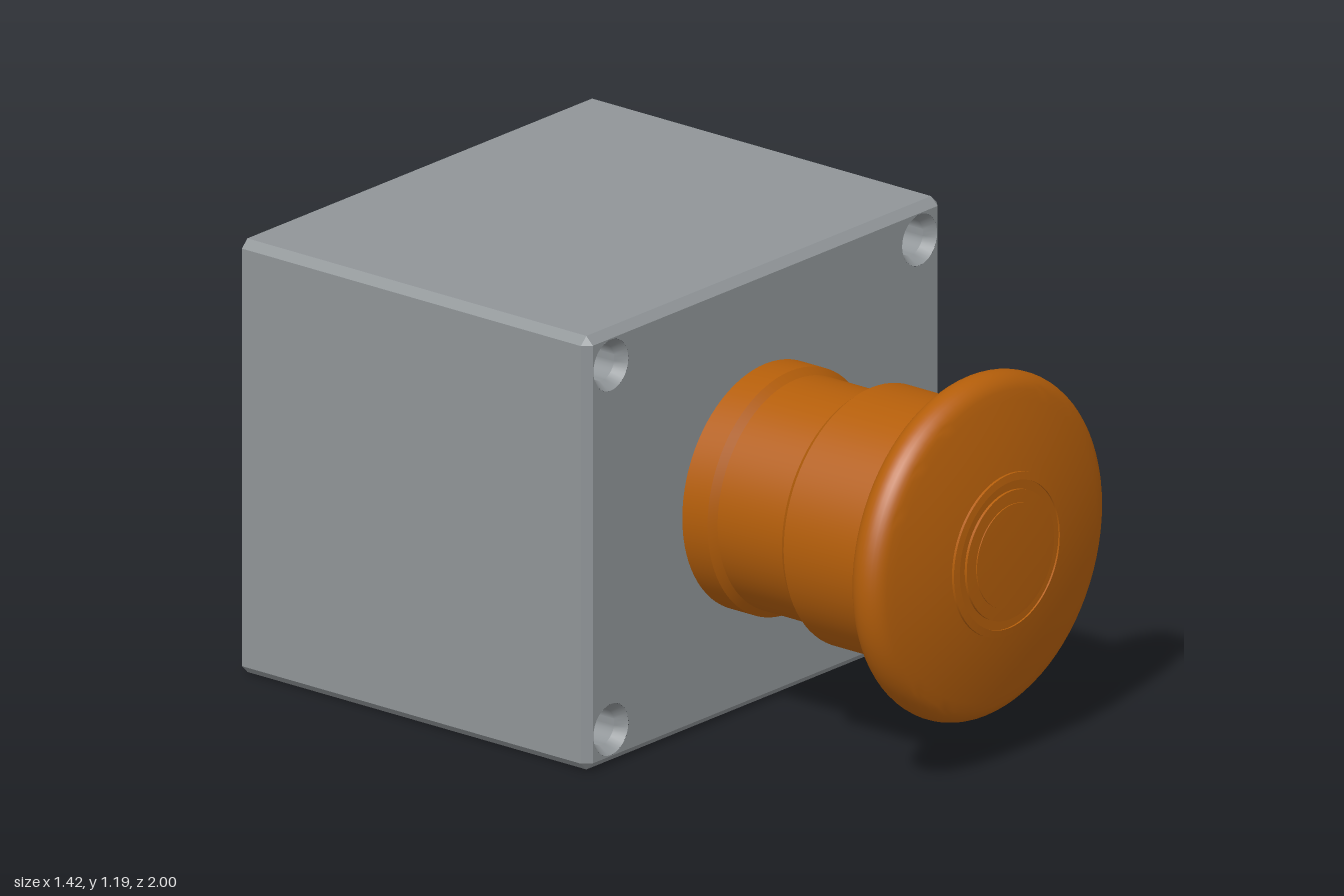
import * as THREE from 'three';
import { toCreasedNormals } from 'three/addons/utils/BufferGeometryUtils.js';

const W = 0.712, H = 0.595, C = 0.022;   // half width, half height, chamfer
const BACK = -1, FRONT = 0.165;
const grey = new THREE.MeshStandardMaterial({ color: 0x909598 });
const greyInside = new THREE.MeshStandardMaterial({ color: 0x909598, side: THREE.DoubleSide });
const orange = new THREE.MeshStandardMaterial({ color: 0xb45e0a });

function addMesh(parent, name, geometry, material) {
  const mesh = new THREE.Mesh(geometry, material);
  mesh.name = name;
  parent.add(mesh);
  return mesh;
}

// Revolve [radius, height] pairs, keeping hard edges crisp
function turned(points, segments) {
  const lathe = new THREE.LatheGeometry(points.map(p => new THREE.Vector2(...p)), segments);
  return toCreasedNormals(lathe, 0.4);
}

// Rectangle outline with cut corners, counter-clockwise
function outline(w, h, c) {
  return [[w, -h + c], [w, h - c], [w - c, h], [-w + c, h],
    [-w, h - c], [-w, -h + c], [-w + c, -h], [w - c, -h]];
}

// Flat panel with four round holes
function panel(points, hx, hy, r) {
  const shape = new THREE.Shape(points.map(p => new THREE.Vector2(...p)));
  for (const sx of [-1, 1]) for (const sy of [-1, 1]) {
    shape.holes.push(new THREE.Path().absarc(sx * hx, sy * hy, r, 0, Math.PI * 2, true));
  }
  return new THREE.ShapeGeometry(shape, 32);
}

// Walls joining the back outline, the chamfer line and the front rectangle
function walls() {
  const full = outline(W, H, C);
  const inset = full.map(([x, y]) => [Math.sign(x) * (W - C), Math.sign(y) * (H - C)]);
  const rings = [[full, BACK], [full, FRONT - C], [inset, FRONT]];
  const pos = [];
  for (let k = 0; k < 2; k++) for (let i = 0; i < 8; i++) {
    const j = (i + 1) % 8;
    const at = (ring, n) => [...rings[ring][0][n], rings[ring][1]];
    const a = at(k, i), b = at(k, j), c = at(k + 1, j), d = at(k + 1, i);
    pos.push(...a, ...b, ...c, ...a, ...c, ...d);
  }
  const g = new THREE.BufferGeometry();
  g.setAttribute('position', new THREE.Float32BufferAttribute(pos, 3));
  g.computeVertexNormals();
  return g;
}

// Four blind holes sunk into a panel
function addHoles(parent, name, profile, hx, hy, z, tilt) {
  const geometry = turned(profile, 32).rotateX(tilt);
  for (const sx of [-1, 1]) for (const sy of [-1, 1]) {
    addMesh(parent, name, geometry, greyInside).position.set(sx * hx, sy * hy, z);
  }
}

export function createModel() {
  const model = new THREE.Group();
  model.name = 'pushButtonBox';
  model.position.y = H;

  // Housing
  const housing = new THREE.Group();
  housing.name = 'housing';
  model.add(housing);
  addMesh(housing, 'housingWalls', walls(), grey);
  addMesh(housing, 'frontPanel', panel(outline(W - C, H - C, 0), 0.618, 0.5, 0.07), grey)
    .position.z = FRONT;
  const back = addMesh(housing, 'backPanel', panel(outline(W, H, C), 0.235, 0.236, 0.048), grey);
  back.rotation.y = Math.PI;
  back.position.z = BACK;

  // Countersunk screw holes in front, plain mounting holes behind
  addHoles(housing, 'screwHole', [[0.07, 0], [0.049, -0.03], [0.049, -0.12], [0, -0.12]],
    0.618, 0.5, FRONT, Math.PI / 2);
  addHoles(housing, 'mountingHole', [[0.048, 0], [0.048, -0.12], [0, -0.12]],
    0.235, 0.236, BACK, -Math.PI / 2);

  // Stem: base collar, neck and upper collar
  const button = new THREE.Group();
  button.name = 'button';
  button.rotation.x = Math.PI / 2;
  model.add(button);
  addMesh(button, 'stem', turned([[0.332, FRONT], [0.332, 0.25], [0.313, 0.268], [0.313, 0.505],
    [0.337, 0.505], [0.35, 0.522], [0.35, 0.825]], 80), orange);

  // Mushroom head: underside, rounded rim, shallow dome
  const head = [[0.34, 0.817], [0.4, 0.821]];
  for (let i = 0; i <= 14; i++) {
    const a = -1.45 + i * (2.72 / 14);
    head.push([0.411 + 0.056 * Math.cos(a), 0.88 + 0.058 * Math.sin(a)]);
  }
  const [r0, z0] = head[head.length - 1];
  for (let i = 1; i <= 8; i++) {
    const r = r0 + (0.22 - r0) * i / 8;
    head.push([r, z0 + (0.98 - z0) * (r0 * r0 - r * r) / (r0 * r0 - 0.22 * 0.22)]);
  }
  addMesh(button, 'mushroomHead', turned(head, 80), orange);

  // Raised centre disc with a ring groove and a stepped middle
  addMesh(button, 'centreDisc', turned([[0.22, 0.978], [0.22, 0.987], [0.2, 0.99], [0.2, 0.985],
    [0.175, 0.985], [0.175, 0.992], [0.14, 0.994], [0.14, 0.997], [0.07, 0.999], [0, 1]],
    80), orange);

  return model;
}
